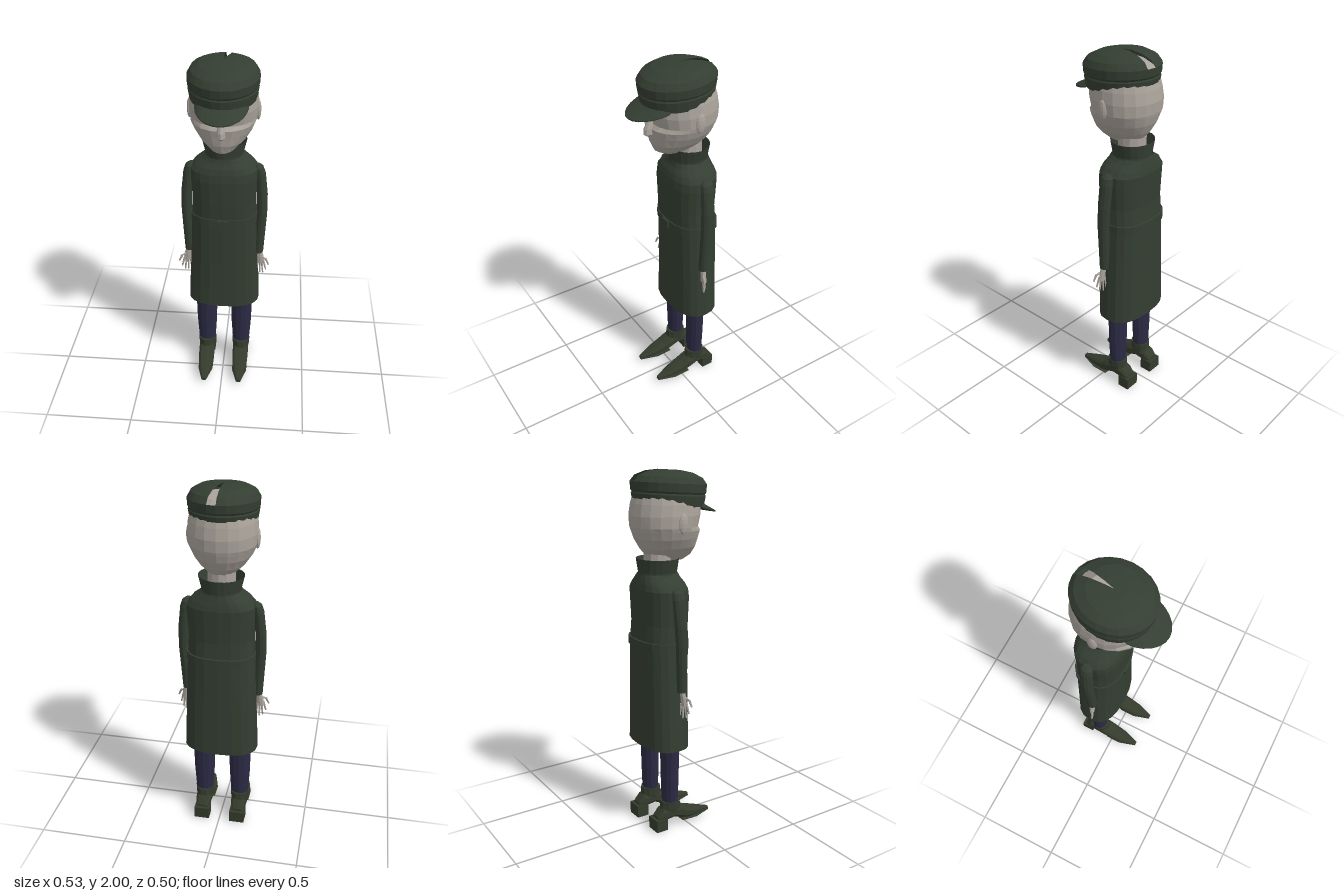
import * as THREE from 'three';

const mat = (name, color) => {
  const m = new THREE.MeshStandardMaterial({ color, side: THREE.DoubleSide, flatShading: true });
  m.name = name;
  return m;
};

// Skin over a list of point rings; skip(i, j) leaves a face out
function loft(rings, { capStart = true, capEnd = true, skip = () => false } = {}) {
  const n = rings[0].length, pos = [];
  const tri = (...pts) => pts.forEach(p => pos.push(p.x, p.y, p.z));
  const mid = r => r.reduce((s, p) => s.add(p), new THREE.Vector3()).divideScalar(n);
  const last = rings.length - 1;
  for (let j = 0; j < n; j++) {
    const k = (j + 1) % n;
    for (let i = 0; i < last; i++) {
      if (skip(i, j)) continue;
      const a = rings[i][j], b = rings[i][k], c = rings[i + 1][k], d = rings[i + 1][j];
      tri(a, d, c);
      tri(a, c, b);
    }
    if (capStart) tri(mid(rings[0]), rings[0][j], rings[0][k]);
    if (capEnd && !skip(last, j)) tri(mid(rings[last]), rings[last][k], rings[last][j]);
  }
  const g = new THREE.BufferGeometry();
  g.setAttribute('position', new THREE.Float32BufferAttribute(pos, 3));
  g.computeVertexNormals();
  return g;
}

const bend = (v, p) => Math.sign(v) * Math.abs(v) ** p;

// Horizontal ring: height, half width, front z, back z, centre x; tilt lowers the front
function ring(y, rx, zf, zb, { cx = 0, n = 20, p = 1, tilt = 0 } = {}) {
  return Array.from({ length: n }, (_, j) => {
    const a = j / n * Math.PI * 2;
    const z = (zf + zb) / 2 + (zf - zb) / 2 * bend(Math.sin(a), p);
    return new THREE.Vector3(cx + rx * bend(Math.cos(a), p), y - tilt * z, z);
  });
}

// Upright ring across the shoe: z, bottom, top, half width
function slice(z, yb, yt, hw, cx) {
  return Array.from({ length: 10 }, (_, j) => {
    const a = j / 10 * Math.PI * 2;
    return new THREE.Vector3(cx + hw * bend(Math.sin(a), 0.7),
      (yb + yt) / 2 + (yt - yb) / 2 * bend(Math.cos(a), 0.7), z);
  });
}

// Tapered rod between two points
function rod(a, b, r0, r1) {
  const A = new THREE.Vector3(...a), B = new THREE.Vector3(...b), d = B.clone().sub(A);
  const g = new THREE.CylinderGeometry(r1, r0, d.length(), 6);
  g.applyQuaternion(new THREE.Quaternion().setFromUnitVectors(new THREE.Vector3(0, 1, 0), d.normalize()));
  const m = A.add(B).multiplyScalar(0.5);
  return g.translate(m.x, m.y, m.z);
}

export function createModel() {
  const model = new THREE.Group();
  const cloth = mat('dark green cloth', 0x343e32);
  const skin = mat('grey skin', 0xaaa39b);
  const navy = mat('navy trousers', 0x2c2a44);
  const leather = mat('olive leather', 0x343b2c);
  const add = (name, geo, material) => {
    const m = new THREE.Mesh(geo, material);
    m.name = name;
    model.add(m);
    return m;
  };
  const rings = (rows, opt) => rows.map(r => ring(...r, opt));

  // Coat, open at the hem
  add('coat', loft(rings([
    [0.5, 0.21, 0.022, -0.238], [0.8, 0.197, 0.022, -0.236], [1.08, 0.185, 0.026, -0.234],
    [1.2, 0.178, 0.032, -0.226], [1.34, 0.186, 0.036, -0.23], [1.385, 0.185, 0.03, -0.232],
    [1.415, 0.16, 0.02, -0.226], [1.445, 0.12, 0.004, -0.218], [1.465, 0.1, -0.002, -0.212],
  ], { p: 0.8 }), { capStart: false, capEnd: false }), cloth);
  add('collar', loft(rings([[1.45, 0.108, 0, -0.214], [1.47, 0.104, -0.002, -0.212],
    [1.545, 0.122, 0.006, -0.22]]), { capStart: false, capEnd: false }), cloth);
  add('belt', loft(rings([[1.065, 0.19, 0.034, -0.243], [1.11, 0.19, 0.034, -0.243]], { p: 0.8 })), cloth);
  add('buckle', new THREE.BoxGeometry(0.06, 0.04, 0.008).translate(0, 1.087, 0.037), cloth);

  // Head
  add('neck', loft(rings([[1.42, 0.075, -0.03, -0.18], [1.57, 0.075, -0.03, -0.18]], { n: 12 })), skin);
  add('head', loft(rings([
    [1.528, 0.045, 0.05, -0.12], [1.555, 0.075, 0.098, -0.17], [1.6, 0.122, 0.115, -0.203],
    [1.65, 0.155, 0.122, -0.23], [1.69, 0.172, 0.13, -0.243], [1.71, 0.178, 0.113, -0.248],
    [1.77, 0.182, 0.128, -0.252], [1.83, 0.176, 0.128, -0.242], [1.9, 0.158, 0.11, -0.222],
    [1.945, 0.1, 0.05, -0.16],
  ], { p: 0.95 })), skin);
  add('nose', loft(rings([[1.648, 0.012, 0.145, 0.115], [1.662, 0.023, 0.163, 0.105],
    [1.69, 0.021, 0.16, 0.105], [1.735, 0.012, 0.135, 0.105]], { n: 8 })), skin);

  // Cap with one missing wedge at the back of the crown
  add('cap', loft(rings([
    [1.815, 0.172, 0.158, -0.228], [1.87, 0.181, 0.168, -0.239], [1.878, 0.177, 0.164, -0.235],
    [1.888, 0.183, 0.171, -0.242], [1.93, 0.185, 0.175, -0.245], [1.962, 0.167, 0.15, -0.218],
    [1.986, 0.125, 0.095, -0.16], [1.997, 0.06, 0.025, -0.092],
  ], { n: 24, tilt: 0.06 }), { capStart: false, skip: (i, j) => i >= 4 && j === 18 }), cloth);

  // Visor: a thin sloping crescent
  const edge = (ry, drop) => Array.from({ length: 13 }, (_, i) => {
    const a = Math.PI * (0.02 + 0.96 * i / 12), s = Math.sin(a);
    return ry ? new THREE.Vector3(0.135 * Math.cos(a), 1.812 - 0.036 * s - drop, 0.09 + 0.16 * s ** 1.15)
      : new THREE.Vector3(0.13 * Math.cos(a), 1.825 - drop, 0.06 + 0.09 * s);
  });
  const inner = edge(0, 0), outer = edge(1, 0), innerLow = edge(0, 0.006), outerLow = edge(1, 0.006);
  add('visor', loft([inner, outer, outerLow, innerLow].map(r => r.reverse()),
    { capStart: false, capEnd: false, skip: (i, j) => j === 12 }), cloth);

  for (const [side, s] of [['left', 1], ['right', -1]]) {
    const ear = add(side + 'Ear', new THREE.SphereGeometry(1, 10, 8), skin);
    ear.scale.set(0.014, 0.055, 0.027);
    ear.position.set(s * 0.178, 1.735, -0.06);

    // Sleeve
    add(side + 'Sleeve', loft([
      [0.84, 0.2, 0.027, -0.058, -0.11], [1.1, 0.213, 0.029, -0.058, -0.124],
      [1.22, 0.211, 0.03, -0.06, -0.132], [1.35, 0.198, 0.028, -0.062, -0.137],
      [1.385, 0.19, 0.024, -0.066, -0.134], [1.4, 0.182, 0.012, -0.08, -0.12],
    ].map(([y, cx, rx, zf, zb]) => ring(y, rx, zf, zb, { cx: s * cx, n: 12 }))), cloth);

    // Hand
    add(side + 'Palm', loft([[0.765, 0.216, 0.021, -0.066, -0.092], [0.81, 0.211, 0.02, -0.066, -0.094],
      [0.86, 0.202, 0.014, -0.07, -0.098]]
      .map(([y, cx, rx, zf, zb]) => ring(y, rx, zf, zb, { cx: s * cx, n: 8 }))), skin);
    const fingers = [
      [[0.2, 0.775, -0.086], [0.194, 0.705, -0.09]], [[0.211, 0.77, -0.082], [0.211, 0.692, -0.082]],
      [[0.222, 0.77, -0.077], [0.229, 0.698, -0.073]], [[0.23, 0.785, -0.073], [0.246, 0.725, -0.066]],
      [[0.222, 0.81, -0.072], [0.246, 0.8, -0.062]], [[0.244, 0.802, -0.063], [0.261, 0.765, -0.058]],
    ];
    fingers.forEach(([a, b], i) => add(`${side}Finger${i + 1}`,
      rod([s * a[0], a[1], a[2]], [s * b[0], b[1], b[2]], 0.007, 0.0045), skin));

    // Leg and footwear
    const cx = s * 0.106;
    add(side + 'Trouser', loft([[0.14, 0.05, -0.057, -0.145], [0.3, 0.06, -0.053, -0.148],
      [0.55, 0.066, -0.05, -0.152], [0.95, 0.07, -0.045, -0.16]]
      .map(r => ring(...r, { cx, n: 12 }))), navy);
    add(side + 'Cuff', loft([[0.08, 0.045, -0.03, -0.165], [0.12, 0.052, -0.036, -0.162],
      [0.165, 0.054, -0.042, -0.157]].map(r => ring(...r, { cx, n: 10 }))), leather);
    add(side + 'Shoe', loft([[-0.195, 0.05, 0.085, 0.034], [-0.16, 0.05, 0.125, 0.044],
      [-0.09, 0.06, 0.135, 0.05], [-0.04, 0.04, 0.122, 0.049], [0, 0.03, 0.1, 0.048],
      [0.07, 0.028, 0.076, 0.04], [0.13, 0.028, 0.056, 0.023], [0.165, 0.03, 0.045, 0.012]]
      .map(r => slice(...r, cx))), leather);
    add(side + 'Sole', loft([[-0.035, 0.026, 0.034, 0.046], [0.06, 0.022, 0.032, 0.046],
      [0.165, 0.024, 0.034, 0.014]].map(r => slice(...r, cx))), leather);
    add(side + 'Heel', new THREE.BoxGeometry(0.088, 0.07, 0.072).translate(cx, 0.035, -0.177), leather);
  }
  return model;
}
